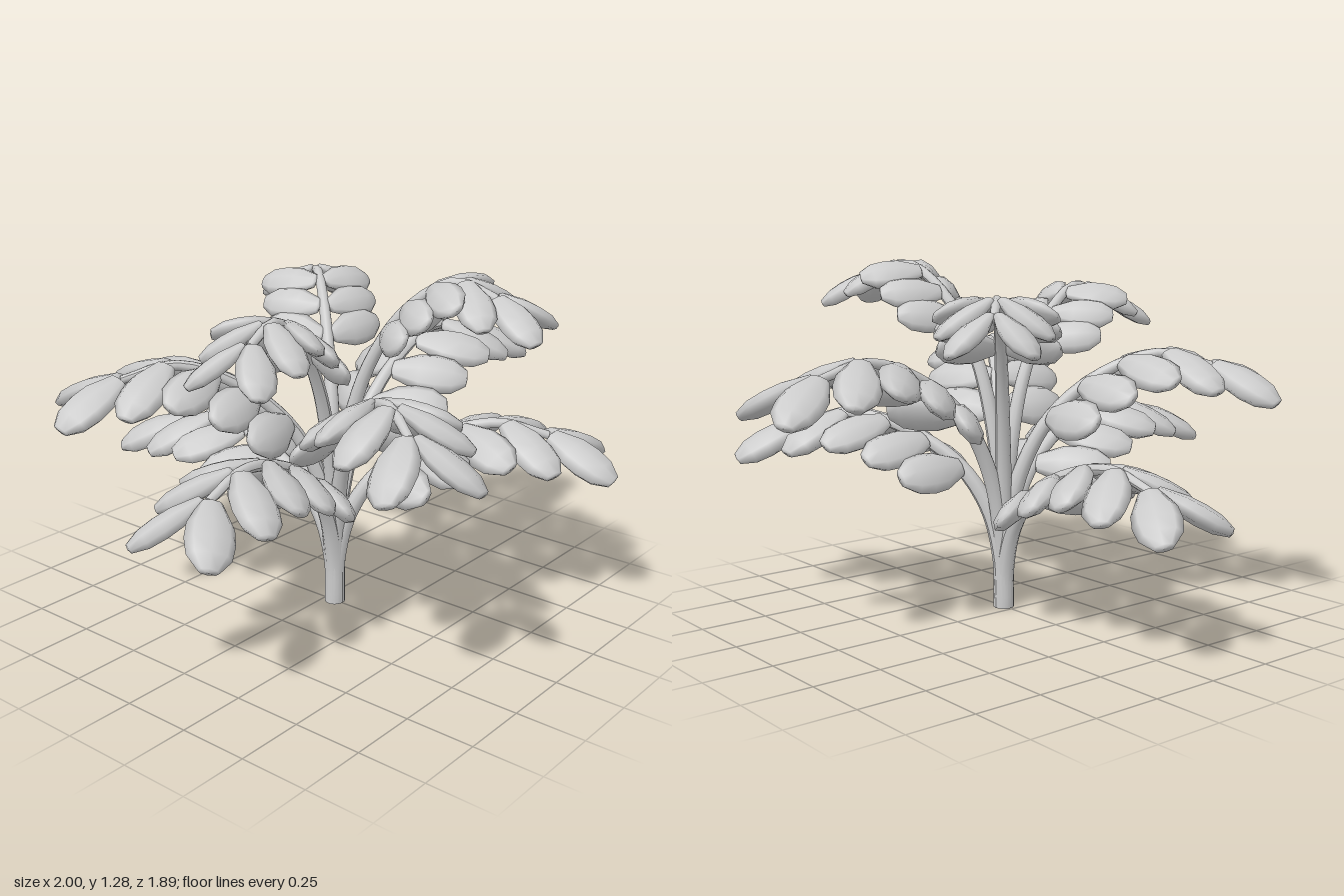
import * as THREE from 'three';

const material = new THREE.MeshStandardMaterial({ color: 0xcccccc, side: THREE.DoubleSide });
const ROOT_Z = 0.045;

// Unit leaflet: plump, blunt six-cornered blade, base at the origin, growing along +y
function leafletGeometry() {
  const profile = [[0, 0], [0.46, 0.03], [0.94, 0.36], [1, 0.58], [0.88, 0.8], [0.42, 0.985], [0, 1]];
  return new THREE.LatheGeometry(profile.map(([r, y]) => new THREE.Vector2(r, y)), 8);
}

// Tube that narrows from r0 to r1 along its curve
function taperedTube(curve, r0, r1, steps = 28, sides = 10) {
  const geometry = new THREE.TubeGeometry(curve, steps, 1, sides);
  const pos = geometry.attributes.position;
  const v = new THREE.Vector3();
  for (let i = 0; i < pos.count; i++) {
    const t = Math.floor(i / (sides + 1)) / steps;
    const centre = curve.getPointAt(t);
    v.fromBufferAttribute(pos, i).sub(centre).multiplyScalar(r0 + (r1 - r0) * t).add(centre);
    pos.setXYZ(i, v.x, v.y, v.z);
  }
  geometry.computeVertexNormals();
  return geometry;
}

// Stalk rises from the root, arches outwards to its peak height and dips at the end
function stalkCurve(x, z, peak) {
  const steps = [
    [0, 0], [0.01, 0.26], [0.075, 0.52], [0.22, 0.745], [0.46, 0.915], [0.75, 1],
  ].map(([out, up]) => new THREE.Vector3(x * out, peak * up, z * out));
  steps.push(new THREE.Vector3(x, peak - 0.045, z));
  return new THREE.CatmullRomCurve3(steps);
}

function makeFrond(leafGeometry, { x, z, peak, spacing, length, width }) {
  const frond = new THREE.Group();
  const curve = stalkCurve(x, z, peak);
  const stalk = new THREE.Mesh(taperedTube(curve, 0.038, 0.015), material);
  stalk.name = 'stalk';
  frond.add(stalk);

  const total = curve.getLength();
  const side = new THREE.Vector3(-z, 0, x).normalize();
  const droop = THREE.MathUtils.degToRad(28);
  // Leaflet pairs from the tip inwards, opening wider the further they sit from it
  [34, 54, 62, 66, 68].forEach((degrees, i) => {
    const t = 1 - (i * spacing) / total;
    const tangent = curve.getTangentAt(t);
    const up = tangent.clone().cross(side);
    if (up.y < 0) up.negate();
    const angle = THREE.MathUtils.degToRad(degrees);
    for (const s of [-1, 1]) {
      const outward = side.clone().multiplyScalar(s * Math.cos(droop)).addScaledVector(up, -Math.sin(droop));
      const along = tangent.clone().multiplyScalar(Math.cos(angle)).addScaledVector(outward, Math.sin(angle));
      const across = tangent.clone().multiplyScalar(Math.sin(angle)).addScaledVector(outward, -Math.cos(angle));
      const normal = across.clone().cross(along);
      const leaf = new THREE.Mesh(leafGeometry, material);
      leaf.name = 'leaflet';
      leaf.position.copy(curve.getPointAt(t)).addScaledVector(outward, 0.018).addScaledVector(up, 0.016);
      leaf.quaternion.setFromRotationMatrix(new THREE.Matrix4().makeBasis(across, along, normal));
      leaf.scale.set(width / 2, length, 0.24 * width);
      frond.add(leaf);
    }
  });
  return frond;
}

export function createModel() {
  const model = new THREE.Group();
  model.name = 'plant';
  const leafGeometry = leafletGeometry();

  // Three tiers of three fronds: stalk end x, z and peak height
  const tiers = [
    { name: 'lowerFrond', spacing: 0.165, length: 0.285, width: 0.165,
      ends: [[0, -0.76, 0.6], [0.475, 0.6, 0.71], [-0.755, 0.1, 0.71]] },
    { name: 'middleFrond', spacing: 0.165, length: 0.285, width: 0.165,
      ends: [[0.765, 0.02, 0.95], [-0.57, -0.49, 0.95], [-0.41, 0.625, 0.945]] },
    { name: 'upperFrond', spacing: 0.117, length: 0.235, width: 0.135,
      ends: [[0.17, 0.55, 1.26], [-0.56, 0.11, 1.175], [0.385, -0.43, 1.165]] },
  ];
  for (const { name, ends, ...style } of tiers) {
    for (const [x, z, peak] of ends) {
      const frond = makeFrond(leafGeometry, { x, z, peak, ...style });
      frond.name = name;
      frond.position.z = ROOT_Z;
      model.add(frond);
    }
  }

  // Flat underside closing the bundled stalks
  const foot = new THREE.Mesh(new THREE.CircleGeometry(0.038, 12), material);
  foot.name = 'trunkUnderside';
  foot.rotation.x = Math.PI / 2;
  foot.position.z = ROOT_Z;
  model.add(foot);
  return model;
}
